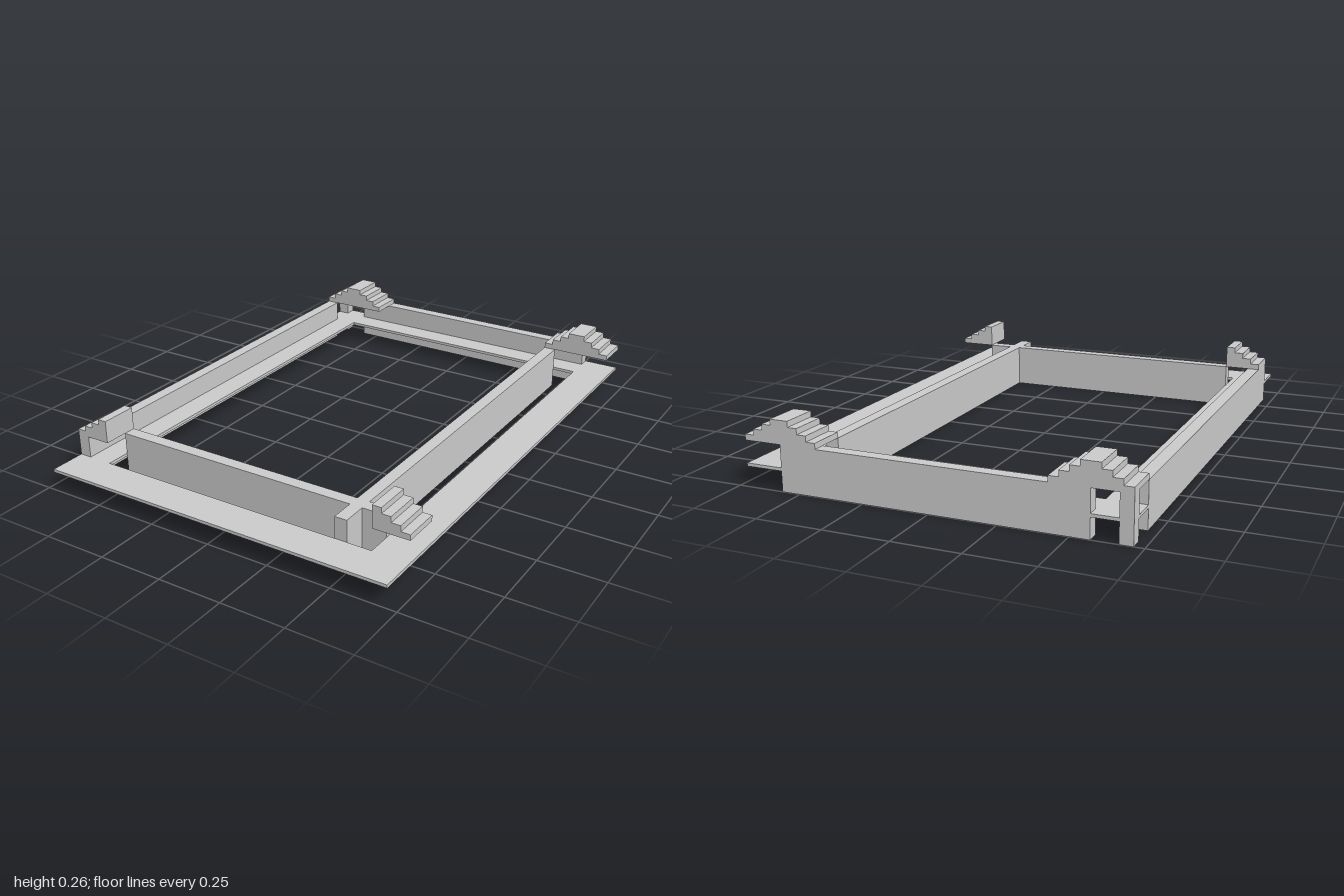
import * as THREE from 'three';

const material = new THREE.MeshStandardMaterial({ color: 0xcccccc, flatShading: true, side: THREE.DoubleSide });

const X = 0.714, Z = 1, RIM = 0.143, WALL = 0.048, WALL_TOP = 0.172;
const STEP = RIM / 4, RISE = 0.022;

// Box given by its extents on each axis
function box(name, x0, x1, y0, y1, z0, z1) {
  const mesh = new THREE.Mesh(new THREE.BoxGeometry(x1 - x0, y1 - y0, z1 - z0), material);
  mesh.position.set((x0 + x1) / 2, (y0 + y1) / 2, (z0 + z1) / 2);
  mesh.name = name;
  return mesh;
}

// Hollow stepped cap, open underneath; peak at x = 0, steps down on the chosen sides
function stepCap(name, left, right, x, z) {
  const start = left ? -4 : 0, end = right ? 4 : 0;
  const points = [new THREE.Vector2(start * STEP, 0)];
  for (let i = start; i < end; i++) {
    const level = i < 0 ? i + 5 : 4 - i;
    points.push(new THREE.Vector2(i * STEP, level * RISE), new THREE.Vector2((i + 1) * STEP, level * RISE));
  }
  points.push(new THREE.Vector2(end * STEP, 0));
  const solid = new THREE.ExtrudeGeometry(new THREE.Shape(points), { depth: RIM, bevelEnabled: false }).toNonIndexed?.()
    ?? null;
  const p = solid.attributes.position, kept = [];
  // Keep every triangle except the flat underside
  for (let i = 0; i < p.count; i += 3) {
    if ([0, 1, 2].every(k => Math.abs(p.getY(i + k)) < 1e-6)) continue;
    for (let k = 0; k < 3; k++) kept.push(p.getX(i + k), p.getY(i + k), p.getZ(i + k));
  }
  const shell = new THREE.BufferGeometry();
  shell.setAttribute('position', new THREE.Float32BufferAttribute(kept, 3));
  shell.computeVertexNormals();
  const mesh = new THREE.Mesh(shell, material);
  mesh.position.set(x, WALL_TOP, z);
  mesh.name = name;
  return mesh;
}

// Flat rectangular plate with a large opening
function rimPlate() {
  const rect = (Path, x, z) => new Path([[-x, -z], [x, -z], [x, z], [-x, z]].map(c => new THREE.Vector2(...c)));
  const shape = rect(THREE.Shape, X, Z);
  shape.holes.push(rect(THREE.Path, X - RIM, Z - RIM));
  const geometry = new THREE.ExtrudeGeometry(shape, { depth: 0.012, bevelEnabled: false });
  geometry.rotateX(-Math.PI / 2);
  const mesh = new THREE.Mesh(geometry, material);
  mesh.position.y = 0.076;
  mesh.name = 'rimPlate';
  return mesh;
}

export function createModel() {
  const model = new THREE.Group();
  model.name = 'steppedFrame';
  const inX = X - RIM, inZ = Z - RIM;

  model.add(rimPlate());

  // Upright walls
  model.add(
    box('frontWall', -inX, inX, 0, WALL_TOP, 0.714, 0.714 + WALL),
    box('backWall', -inX, inX, 0, WALL_TOP, -Z, -Z + WALL),
    box('rightWall', -X, -X + WALL, 0, WALL_TOP, -inZ, inZ),
    box('leftWall', 0.428, 0.428 + WALL, 0, WALL_TOP, -inZ, inZ),
    box('cornerPost', -X, -X + WALL, 0, WALL_TOP, -Z, -Z + WALL),
  );

  // Stepped caps: full at the back corners, half at the front corners
  model.add(
    stepCap('backRightCap', true, true, -inX, -Z),
    stepCap('backLeftCap', true, true, inX, -Z),
    stepCap('frontRightCap', true, false, -inX, 0.714),
    stepCap('frontLeftCap', false, true, inX, 0.714),
  );
  return model;
}
